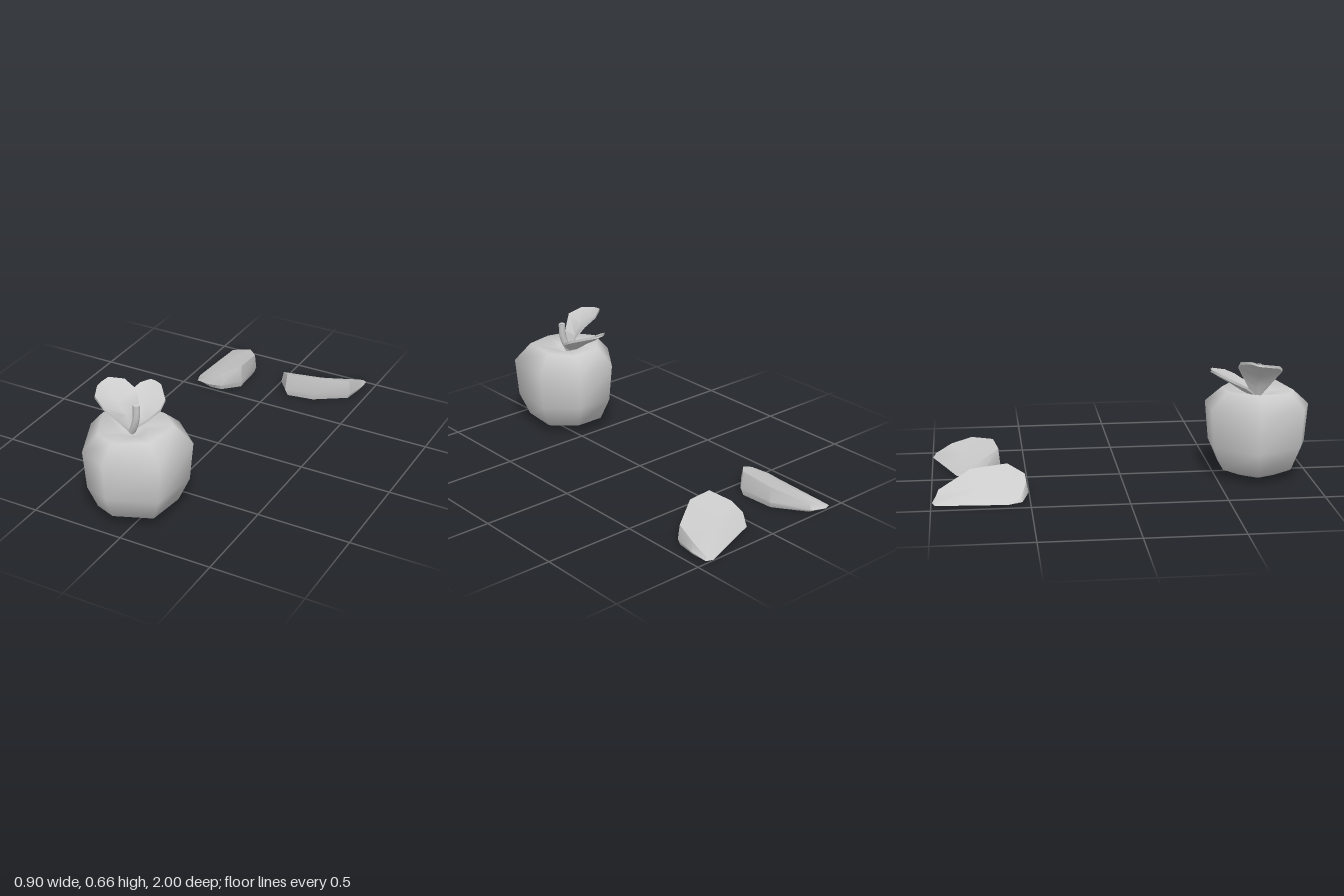
import * as THREE from 'three';
import { toCreasedNormals } from 'three/addons/utils/BufferGeometryUtils.js';

const material = new THREE.MeshStandardMaterial({ color: 0xcccccc });

// Skin a stack of equal-length closed rings; both end rings are closed by a fan.
function loft(name, rings, crease, capStart, capEnd) {
  const n = rings[0].length;
  const pos = rings.flat(2);
  const idx = [];
  for (let r = 0; r < rings.length - 1; r++) {
    for (let i = 0; i < n; i++) {
      const a = r * n + i, b = r * n + (i + 1) % n;
      idx.push(a, a + n, b, b, a + n, b + n);
    }
  }
  const mean = ring => [0, 1, 2].map(k => ring.reduce((s, p) => s + p[k], 0) / n);
  const last = (rings.length - 1) * n;
  const c = rings.length * n;
  pos.push(...(capStart || mean(rings[0])), ...(capEnd || mean(rings[rings.length - 1])));
  for (let i = 0; i < n; i++) {
    const j = (i + 1) % n;
    idx.push(c, i, j, c + 1, last + j, last + i);
  }
  // Turn the faces outward if the enclosed volume comes out negative.
  const v = i => new THREE.Vector3().fromArray(pos, i * 3);
  const origin = v(c);
  let volume = 0;
  for (let i = 0; i < idx.length; i += 3) {
    const [p, q, s] = [0, 1, 2].map(k => v(idx[i + k]).sub(origin));
    volume += p.dot(q.cross(s));
  }
  if (volume < 0) idx.reverse();
  let geo = new THREE.BufferGeometry();
  geo.setAttribute('position', new THREE.Float32BufferAttribute(pos, 3));
  geo.setIndex(idx);
  if (crease) geo = toCreasedNormals(geo, crease);
  else geo.computeVertexNormals();
  const mesh = new THREE.Mesh(geo, material);
  mesh.name = name;
  return mesh;
}

// Seven-sided fruit: one plan outline scaled up the profile, with a wavy rim.
function makeFruit() {
  const cx = -0.08, cz = 0.73;
  const plan = [[-0.19, 0.46], [0.03, 0.46], [0.195, 0.61], [0.165, 0.89],
    [-0.09, 0.995], [-0.24, 0.94], [-0.35, 0.69]];
  const rim = [0.485, 0.474, 0.488, 0.488, 0.468, 0.474, 0.488];
  const profile = [[0.37, 0.015], [0.74, 0.06], [0.935, 0.185], [1, 0.392], [0.69, 0], [0.22, 0.455]];
  const rings = profile.map(([s, y]) => plan.map(([x, z], i) =>
    [cx + (x - cx) * s, y || rim[i], cz + (z - cz) * s]));
  return loft('fruitBody', rings, 0, [cx, 0.025, cz], [cx, 0.42, cz]);
}

// Wedge: outline points [x, z, height of the cut face]; the skin bulges at mid height.
function makeSlice(name, outline, dip) {
  const n = outline.length;
  const cx = outline.reduce((s, p) => s + p[0], 0) / n;
  const cz = outline.reduce((s, p) => s + p[1], 0) / n;
  const ring = (scale, height) => outline.map(([x, z, y]) =>
    [cx + (x - cx) * scale, height(y), cz + (z - cz) * scale]);
  const rings = [
    ring(0.93, () => 0.005),
    ring(1, y => 0.005 + (y - 0.005) * 0.3),
    ring(0.95, y => y),
  ];
  return loft(name, rings, 0.7, null, [cx, dip, cz]);
}

// Thin cupped leaf: rows of left edge, midrib and right edge, given a thickness.
function makeLeaf(name, rows) {
  const t = 0.014;
  const rings = rows.map(([l, m, r]) => {
    const under = ([x, y, z]) => [x, y - t, z];
    return [l, m, r, under(r), under(m), under(l)];
  });
  return loft(name, rings, 0.9);
}

export function createModel() {
  const model = new THREE.Group();
  const fruit = new THREE.Group();
  fruit.name = 'wholeFruit';
  fruit.add(makeFruit());

  // Bent stem with a flat top
  const path = new THREE.CatmullRomCurve3([[-0.1, 0.42, 0.71], [-0.07, 0.48, 0.725],
    [-0.055, 0.53, 0.73], [-0.052, 0.602, 0.73]].map(p => new THREE.Vector3(...p)));
  const stem = new THREE.Mesh(new THREE.TubeGeometry(path, 6, 0.018, 7), material);
  stem.name = 'stem';
  const cap = new THREE.Mesh(new THREE.CircleGeometry(0.018, 7).rotateX(-Math.PI / 2), material);
  cap.position.set(-0.052, 0.602, 0.73);
  cap.name = 'stemTop';
  fruit.add(stem, cap);

  // Leaf rising to the model's right
  fruit.add(makeLeaf('sideLeaf', [
    [[-0.1, 0.45, 0.73], [-0.1, 0.44, 0.71], [-0.09, 0.46, 0.69]],
    [[-0.12, 0.53, 0.79], [-0.13, 0.515, 0.71], [-0.085, 0.54, 0.65]],
    [[-0.18, 0.605, 0.83], [-0.17, 0.575, 0.71], [-0.12, 0.61, 0.61]],
    [[-0.245, 0.635, 0.8], [-0.225, 0.62, 0.7], [-0.195, 0.65, 0.605]],
    [[-0.275, 0.65, 0.73], [-0.275, 0.655, 0.69], [-0.26, 0.665, 0.65]],
  ]));
  // Leaf reaching back
  fruit.add(makeLeaf('backLeaf', [
    [[-0.1, 0.46, 0.7], [-0.09, 0.45, 0.7], [-0.075, 0.46, 0.7]],
    [[-0.15, 0.505, 0.65], [-0.09, 0.485, 0.635], [-0.02, 0.505, 0.67]],
    [[-0.2, 0.55, 0.575], [-0.1, 0.53, 0.57], [0.014, 0.54, 0.615]],
    [[-0.17, 0.585, 0.5], [-0.11, 0.565, 0.51], [0.01, 0.565, 0.56]],
    [[-0.13, 0.597, 0.465], [-0.1, 0.595, 0.465], [-0.06, 0.592, 0.48]],
  ]));
  model.add(fruit);

  // Two cut wedges lying on a cut face
  model.add(makeSlice('rightSlice', [
    [-0.43, -0.98, 0.012], [-0.39, -0.995, 0.02], [-0.3, -0.975, 0.05], [-0.18, -0.8, 0.12],
    [-0.17, -0.6, 0.14], [-0.26, -0.51, 0.11], [-0.33, -0.505, 0.085], [-0.43, -0.54, 0.03],
    [-0.452, -0.61, 0.01], [-0.442, -0.8, 0.01],
  ], 0.062));
  model.add(makeSlice('leftSlice', [
    [0, -0.8, 0.05], [0.05, -0.87, 0.015], [0.23, -0.935, 0.012], [0.4, -1, 0.015], [0.44, -0.99, 0.025],
    [0.45, -0.9, 0.075], [0.43, -0.78, 0.115], [0.25, -0.66, 0.149], [0.09, -0.635, 0.14],
    [0.02, -0.73, 0.095],
  ], 0.065));
  return model;
}
